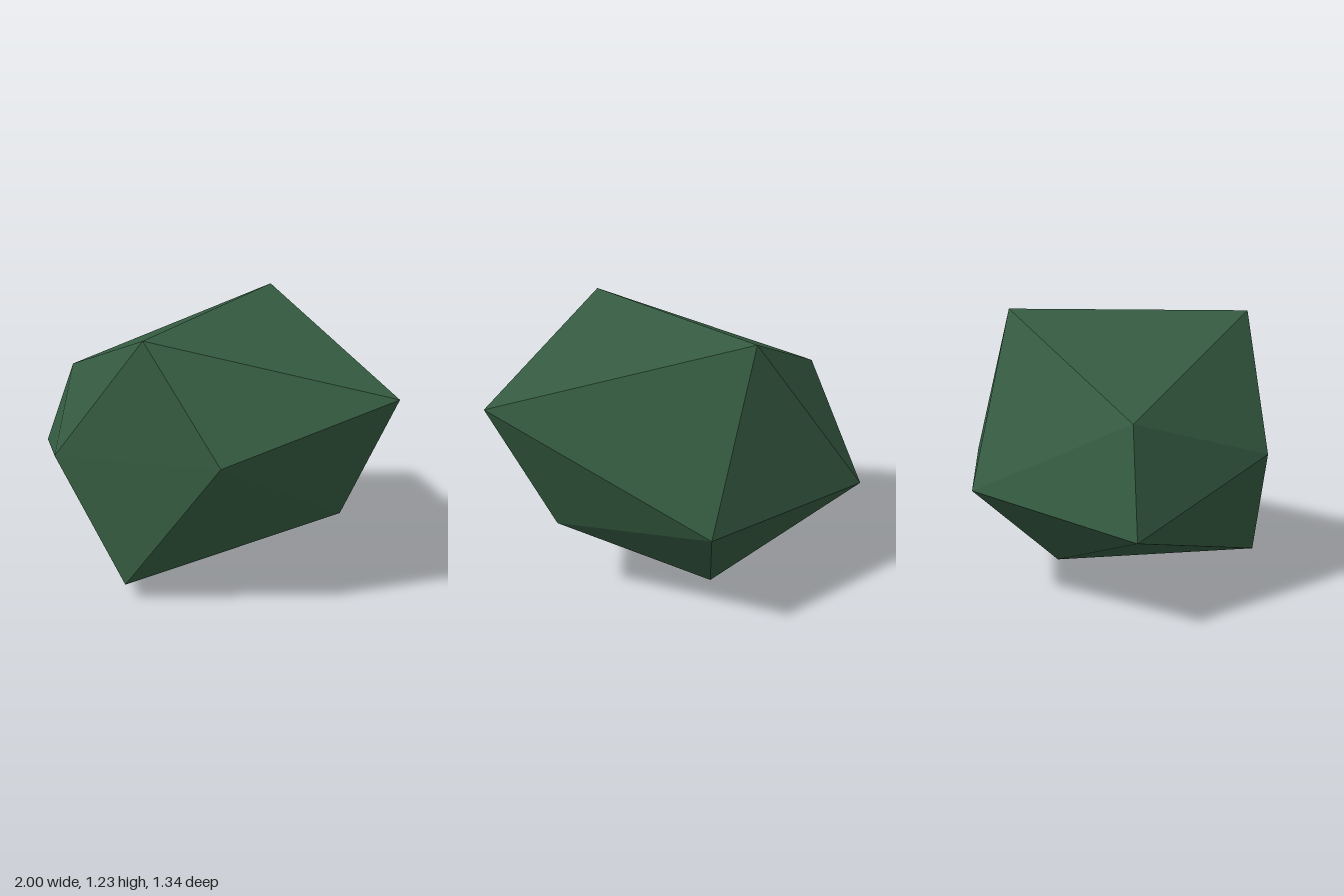
import * as THREE from 'three';

// Irregular twenty-sided stone: two tips joined by two staggered rings of five corners
const rightTip = [-1.0, 0.37, 0.0];
const leftTip = [1.0, 0.985, 0.14];
const leftRing = [
  [0.06, 1.215, 0.63],
  [0.04, 1.23, -0.5],
  [0.43, 0.5, -0.67],
  [0.717, 0.378, 0.063],
  [0.46, 0.745, 0.67],
];
const rightRing = [
  [-0.81, 0.815, 0.0],
  [-0.48, 0.48, -0.665],
  [0.1, 0.0, -0.28],
  [-0.045, 0.075, 0.655],
  [-0.43, 0.61, 0.637],
];

function createStoneGeometry() {
  const corners = [];
  const addFace = (a, b, c) => corners.push(...a, ...b, ...c);
  for (let i = 0; i < 5; i++) {
    const j = (i + 1) % 5;
    addFace(leftTip, leftRing[j], leftRing[i]); // left cap
    addFace(leftRing[i], leftRing[j], rightRing[i]); // middle band
    addFace(rightRing[i], leftRing[j], rightRing[j]);
    addFace(rightTip, rightRing[i], rightRing[j]); // right cap
  }
  const geometry = new THREE.BufferGeometry();
  geometry.setAttribute('position', new THREE.Float32BufferAttribute(corners, 3));
  geometry.computeVertexNormals(); // unshared corners give flat facets
  return geometry;
}

export function createModel() {
  const group = new THREE.Group();
  group.name = 'facetedStone';

  const darkGreen = new THREE.MeshStandardMaterial({ color: 0x355b41 });
  darkGreen.name = 'dark green';

  const stone = new THREE.Mesh(createStoneGeometry(), darkGreen);
  stone.name = 'stone';
  group.add(stone);
  return group;
}
